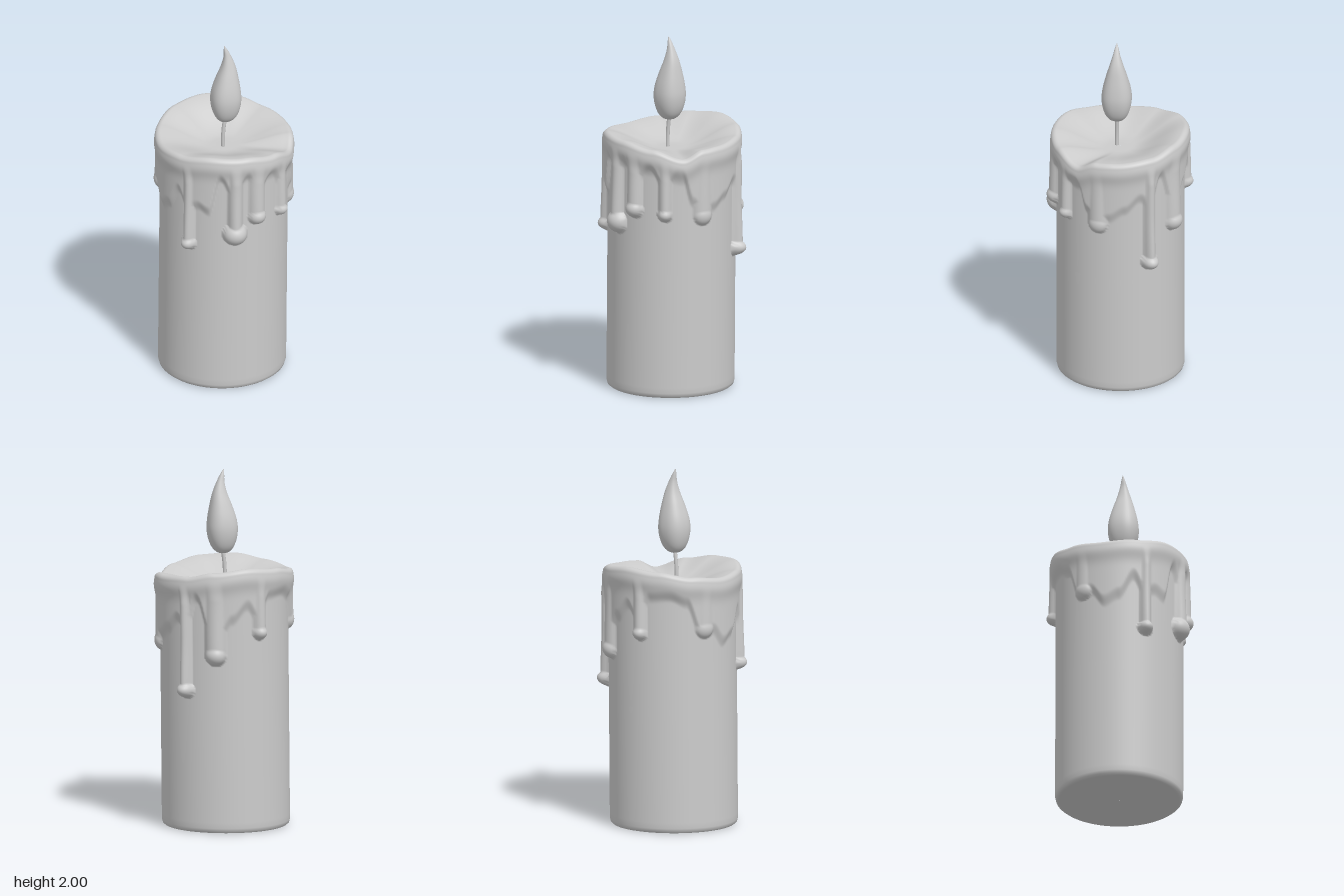
import * as THREE from 'three';

const { lerp, smoothstep, degToRad } = THREE.MathUtils;
const BODY_R = 0.357, POOL_Y = 1.365;

// Closed surface from rings of points, listed from the bottom centre outwards, up and in again
function loft(rows, sides, point) {
  const pos = [], index = [];
  for (let i = 0; i < rows; i++) {
    for (let j = 0; j < sides; j++) {
      pos.push(...point(i, (j / sides) * Math.PI * 2));
      if (i === rows - 1) continue;
      const a = i * sides + j, b = i * sides + ((j + 1) % sides);
      index.push(a, b, a + sides, b, b + sides, a + sides);
    }
  }
  const g = new THREE.BufferGeometry();
  g.setAttribute('position', new THREE.Float32BufferAttribute(pos, 3));
  g.setIndex(index);
  g.computeVertexNormals();
  return g;
}

// Smooth interpolation through [key, value] pairs
function curve(table, t) {
  for (let i = 1; i < table.length; i++) {
    const [k0, v0] = table[i - 1], [k1, v1] = table[i];
    if (t <= k1) return lerp(v0, v1, smoothstep(t, k0, k1));
  }
  return table[table.length - 1][1];
}

// Angles in degrees: 0 is the front, 90 is +x
const RIM = [[-180, 1.495], [-150, 1.48], [-120, 1.45], [-90, 1.432], [-60, 1.445], [-30, 1.468],
  [0, 1.46], [30, 1.43], [57, 1.38], [75, 1.425], [90, 1.43], [125, 1.445], [150, 1.475], [180, 1.495]];

// Lower edge of the wax skirt
const SKIRT = [[-180, 1.28], [-170, 1.2], [-158, 1.33], [-140, 1.34], [-125, 1.3], [-112, 1.12], [-100, 1.14],
  [-88, 1.06], [-75, 1.1], [-62, 1.22], [-52, 1.12], [-42, 1.15], [-32, 1.12], [-22, 1.34], [-9, 1.2],
  [2, 1.35], [12, 1.2], [27, 1.34], [41, 1.2], [54, 1.34], [66, 1.12], [76, 1.04], [86, 1.08],
  [100, 1.13], [114, 1.2], [124, 1.15], [134, 1.33], [150, 1.05], [166, 1.2], [180, 1.28]];

// Drips: angle, tip height, stem half width, bulb radius, bulb bulge
const DRIPS = [
  [-51, 0.87, 0.025, 0.042, 0.058], [-8.5, 0.92, 0.032, 0.068, 0.066], [12, 1.03, 0.038, 0.052, 0.056],
  [41, 1.02, 0.028, 0.04, 0.05], [76, 0.99, 0.045, 0.055, 0.036], [123, 0.76, 0.025, 0.047, 0.072],
  [151, 0.95, 0.045, 0.058, 0.055], [-168, 1.09, 0.03, 0.042, 0.052], [-108, 1.1, 0.045, 0.055, 0.034],
];

const wrap = (d) => ((((d + 180) % 360) + 360) % 360) - 180;

// Thickness of melted wax lying on the candle wall
function meltedWax(deg, y) {
  const top = curve(RIM, deg), edge = curve(SKIRT, deg);
  let out = 0.02 * smoothstep(y, edge - 0.03, edge + 0.05);
  for (const [a, tip, w, r, bulge] of DRIPS) {
    const dx = degToRad(wrap(deg - a)) * BODY_R, dy = y - tip - r;
    if (Math.abs(dx) > 0.12) continue;
    const d2 = (dx * dx + dy * dy) / (r * r);
    if (d2 < 1) out = Math.max(out, bulge * Math.pow(1 - d2, 0.6));
    if (dy > 0) {
      const s = Math.max(0, 1 - (dx / (w * 1.3)) ** 2);
      out = Math.max(out, lerp(0.62, 0.5, smoothstep(dy, 0, 0.3)) * bulge * Math.pow(s, 0.7) + 0.008 * s);
    }
  }
  // Everything merges into one even roll near the rim
  out = lerp(out, 0.022, smoothstep(y, top - 0.16, top - 0.04));
  return out + 0.012 * Math.exp(-(((top - 0.06 - y) / 0.05) ** 2));
}

function candleGeometry() {
  const base = [[0.002, 0], [0.33, 0], [0.341, 0.001], [0.352, 0.01], [BODY_R, 0.028]];
  const low = 8, high = 100, arc = 8, bowl = 22, lip = 0.028;
  const wall = base.length + low + high;
  return loft(wall + arc + bowl, 288, (i, a) => {
    const deg = wrap((a * 180) / Math.PI), rim = curve(RIM, deg);
    const edgeY = rim - lip;
    const edgeR = BODY_R + meltedWax(deg, edgeY);
    let r, y;
    if (i < base.length) {
      [r, y] = base[i];
    } else if (i < wall) {
      const k = i - base.length;
      y = k < low ? lerp(0.06, 0.7, k / low) : lerp(0.7, edgeY, (k - low) / (high - 1));
      r = BODY_R + meltedWax(deg, y);
    } else if (i < wall + arc) {
      // Rounded lip
      const t = ((i - wall + 1) / arc) * Math.PI * 0.6;
      r = edgeR - lip * (1 - Math.cos(t));
      y = edgeY + lip * Math.sin(t);
    } else {
      // Hollow sloping down to the pool around the wick
      const t = 1 - (i - wall - arc + 1) / bowl;
      const lipR = edgeR - lip * (1 - Math.cos(Math.PI * 0.6));
      const lipY = edgeY + lip * Math.sin(Math.PI * 0.6);
      r = Math.max(0.002, lipR * t);
      y = lerp(Math.min(POOL_Y, lipY), lipY, smoothstep(t, 0.2, 1.08) / smoothstep(1, 0.2, 1.08));
    }
    const cx = lerp(-0.012, 0.001, Math.min(1, y / 1.4));
    return [cx + r * Math.sin(a), y, -0.01 + r * Math.cos(a)];
  });
}

function flameGeometry() {
  // Height, radius, sideways bend
  const profile = [[1.525, 0.001, 0], [1.53, 0.03, 0], [1.555, 0.056, 0.001], [1.6, 0.075, 0.002],
    [1.66, 0.084, 0.003], [1.72, 0.079, 0.005], [1.8, 0.06, 0.012], [1.87, 0.039, 0.018],
    [1.93, 0.021, 0.013], [1.97, 0.011, 0.003], [2, 0.001, -0.006]];
  const radius = new THREE.CatmullRomCurve3(profile.map((p) => new THREE.Vector3(p[1], p[0], p[2])));
  const rows = 41;
  return loft(rows, 40, (i, a) => {
    const p = radius.getPoint(i / (rows - 1));
    // Slightly squared cross-section
    const s = Math.sin(a), c = Math.cos(a);
    const r = Math.max(0.0005, p.x) / Math.pow(Math.abs(s) ** 2.5 + Math.abs(c) ** 2.5, 1 / 2.5);
    return [p.z + r * s, p.y, 0.01 + r * c];
  });
}

export function createModel() {
  const group = new THREE.Group();
  const material = new THREE.MeshStandardMaterial({ color: 0xcccccc });
  const add = (name, geometry) => {
    const mesh = new THREE.Mesh(geometry, material);
    mesh.name = name;
    group.add(mesh);
  };

  add('waxBody', candleGeometry());

  const wickPath = new THREE.CatmullRomCurve3([[-0.012, 1.34], [-0.013, 1.42], [-0.009, 1.48], [0.001, 1.55]]
    .map(([x, y]) => new THREE.Vector3(x, y, 0.01)));
  add('wick', new THREE.TubeGeometry(wickPath, 16, 0.011, 10));

  add('flame', flameGeometry());
  return group;
}
